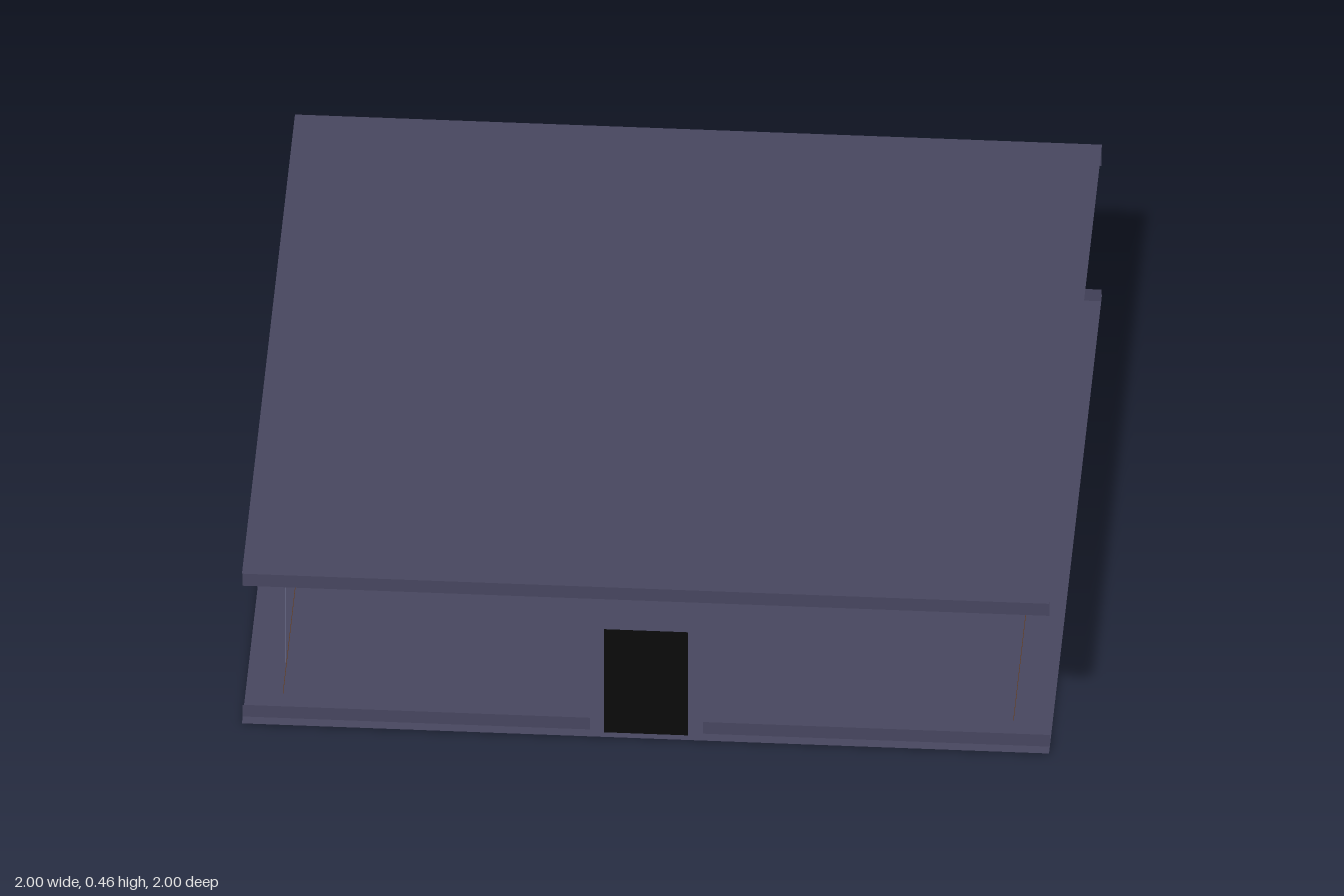
import * as THREE from 'three';

const mat = (name, color) => {
  const m = new THREE.MeshStandardMaterial({ color, side: THREE.DoubleSide });
  m.name = name;
  return m;
};

export function createModel() {
  const slate = mat('slate', 0x47465f);
  const black = mat('doorBlack', 0x0a0a0a);
  const magenta = mat('magentaLight', 0x7d1a66);
  const orange = mat('orangeLight', 0x9a5a24);
  const lavender = mat('lavenderLight', 0xa8aed4);

  const room = new THREE.Group();
  room.name = 'room';

  const add = (name, geometry, material, x, y, z) => {
    const mesh = new THREE.Mesh(geometry, material);
    mesh.name = name;
    mesh.position.set(x, y, z);
    room.add(mesh);
    return mesh;
  };
  // Thin panels: facing the front, the side, or lying flat
  const front = (w, h) => new THREE.PlaneGeometry(w, h);
  const side = (d, h) => new THREE.PlaneGeometry(d, h).rotateY(Math.PI / 2);
  const flat = (w, d) => new THREE.PlaneGeometry(w, d).rotateX(-Math.PI / 2);

  // Floor, ceiling and the low platform in the middle
  add('floor', flat(2, 2), slate, 0, 0.005, 0);
  add('ceiling', flat(2, 2), slate, 0, 0.455, 0);
  add('platform', new THREE.BoxGeometry(0.8, 0.012, 0.6), slate, 0, 0.006, 0);

  for (const s of [1, -1]) {
    // Crown mouldings hanging below the ceiling
    add('endCrown', front(2, 0.05), slate, 0, 0.43, s * 0.98);
    add('sideCrown', side(1.9, 0.05), slate, s * 0.985, 0.43, 0);

    // Door with a skirting board on either side
    add('door', front(0.207, 0.31), black, 0, 0.16, s * 0.98);
    for (const t of [1, -1]) {
      add('skirting', front(0.86, 0.035), slate, t * 0.57, 0.0225, s * 0.97);
    }

    // Light strip along the foot of each side
    add('floorLight', side(1.8, 0.014), orange, s * 0.905, 0.028, 0);
  }

  // Upright light bars along each side, listed from front to back
  const bars = {
    '1': [magenta, orange, lavender, lavender, orange],
    '-1': [lavender, lavender, orange, lavender, magenta],
  };
  for (const s of [1, -1]) {
    bars[s].forEach((m, i) => {
      add('lightBar', side(0.017, 0.325), m, s * 0.905, 0.2125, 0.8 - 0.4 * i);
    });
  }

  // Square light frames under the ceiling
  const lightFrame = (name, half, m) => {
    const w = 0.015;
    for (const s of [1, -1]) {
      add(name, flat(2 * half + w, w), m, 0, 0.445, s * half);
      add(name, flat(w, 2 * half - w), m, s * half, 0.445, 0);
    }
  };
  lightFrame('outerCeilingLight', 0.7, magenta);
  lightFrame('innerCeilingLight', 0.5, orange);

  return room;
}
